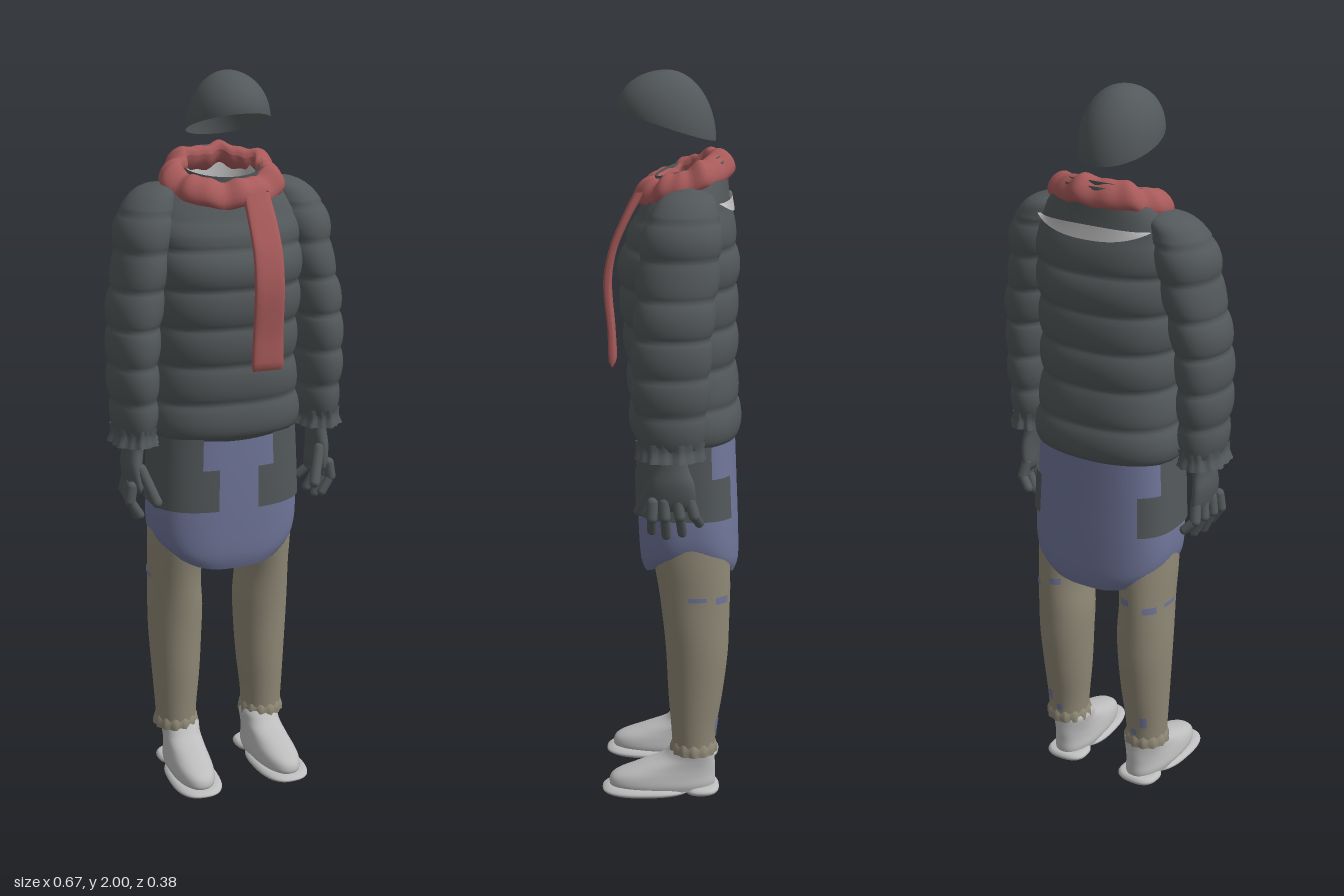
import * as THREE from 'three';

const mat = (name, color) => {
  const m = new THREE.MeshStandardMaterial({ color, side: THREE.DoubleSide });
  m.name = name;
  return m;
};

// Smooth value through the rows of a section table at height y
function sample(rows, y) {
  let i = 0;
  while (i < rows.length - 2 && y > rows[i + 1][0]) i++;
  const a = rows[i], b = rows[i + 1], p = rows[Math.max(i - 1, 0)], n = rows[Math.min(i + 2, rows.length - 1)];
  const h = b[0] - a[0], t = (y - a[0]) / h, t2 = t * t, t3 = t2 * t;
  return a.map((v, k) => {
    const ma = (b[k] - p[k]) / (b[0] - p[0]) * h, mb = (n[k] - v) / (n[0] - a[0]) * h;
    return (2 * t3 - 3 * t2 + 1) * v + (t3 - 2 * t2 + t) * ma + (3 * t2 - 2 * t3) * b[k] + (t3 - t2) * mb;
  });
}

// Skin over superellipse sections [y, cx, cz, rx, rz]; angle 0 faces the front.
// grow(y, angle) swells the section, bend(point, angle, y) moves the result.
function loft(rows, o = {}) {
  const { p = 2, from = 0, to = Math.PI * 2, grow = () => 0, bend, nu = 40, nv = 24 } = o;
  const y0 = o.y0 ?? rows[0][0], y1 = o.y1 ?? rows[rows.length - 1][0];
  const closed = to - from > 6.28, n = closed ? nu : nu + 1;
  const pos = [], idx = [], v = new THREE.Vector3();
  const pw = c => Math.sign(c) * Math.abs(c) ** (2 / p);
  for (let j = 0; j <= nv; j++) {
    const y = y0 + (y1 - y0) * j / nv, [, cx, cz, rx, rz] = sample(rows, y);
    for (let i = 0; i < n; i++) {
      const a = from + (to - from) * i / nu, g = grow(y, a);
      v.set(cx + (rx + g) * pw(Math.sin(a)), y, cz + (rz + g) * pw(Math.cos(a)));
      if (bend) bend(v, a, y);
      pos.push(v.x, v.y, v.z);
      if (j < nv && (closed || i < nu)) {
        const k = j * n + i, r = j * n + (i + 1) % n;
        idx.push(k, r, k + n, r, r + n, k + n);
      }
    }
  }
  const g = new THREE.BufferGeometry();
  g.setAttribute('position', new THREE.Float32BufferAttribute(pos, 3));
  g.setIndex(idx);
  g.computeVertexNormals();
  return g;
}

// Rounded rod between two points
function rod(a, b, r) {
  const A = new THREE.Vector3(...a), B = new THREE.Vector3(...b), d = B.clone().sub(A);
  const g = new THREE.CapsuleGeometry(r, d.length(), 5, 10);
  g.applyQuaternion(new THREE.Quaternion().setFromUnitVectors(new THREE.Vector3(0, 1, 0), d.normalize()));
  return g.translate(...A.add(B).multiplyScalar(0.5).toArray());
}

export function createModel() {
  const root = new THREE.Group();
  const dark = mat('charcoal', 0x53585a), blue = mat('slate blue', 0x70769a), tan = mat('taupe', 0x8f8876);
  const pale = mat('pale grey', 0xbdbdbd), red = mat('dusty red', 0xa85a5a);
  const add = (name, geo, m, parent = root) => {
    const mesh = new THREE.Mesh(geo, m);
    mesh.name = name;
    parent.add(mesh);
    return mesh;
  };
  const puff = (start, step, amount) => y => amount * (Math.sqrt(Math.abs(Math.sin(Math.PI * (y - start) / step))) - 0.7);

  // Quilted jacket body, with a collar that tips forward
  const torso = [[1.015, 0, -.035, .2, .135], [1.035, 0, -.035, .212, .147], [1.1, 0, -.034, .212, .15], [1.2, 0, -.026, .2, .148],
    [1.3, 0, -.022, .2, .153], [1.4, 0, -.017, .205, .157], [1.5, 0, -.017, .21, .16], [1.58, 0, -.025, .215, .142],
    [1.65, 0, -.03, .2, .122], [1.7, 0, -.037, .165, .11], [1.74, 0, -.045, .12, .1]];
  const tilt = (v, a, y) => { v.y -= (v.z + .04) * .33 * THREE.MathUtils.clamp((y - 1.58) / .14, 0, 1); };
  const bodyPuff = y => y > 1.63 ? 0 : puff(1.02, .105, .014)(y);
  add('jacketBody', loft(torso, { p: 2.4, grow: bodyPuff, bend: tilt, nu: 64, nv: 90 }), dark);
  add('collar', loft([[1.56, 0, -.04, .115, .09], [1.66, 0, -.042, .105, .085], [1.755, 0, -.045, .118, .092]], { bend: tilt }), dark);
  add('shirtNeck', loft([[1.68, 0, -.042, .098, .078], [1.725, 0, -.045, .1, .08]], { bend: tilt, nv: 4 }), pale);

  // Crescent of shirt showing across the upper back
  add('shirtBack', loft(torso, {
    p: 2.4, from: Math.PI - .85, to: Math.PI + .85, y0: 1.625, y1: 1.655, nv: 6, grow: () => .008,
    bend: (v, a, y) => {
      tilt(v, a, y);
      const edge = Math.cos((a - Math.PI) / .85 * Math.PI / 2);
      v.y = 1.672 + (v.y - 1.672) * edge;
    }
  }), pale);

  // Scarf loop and hanging end
  add('scarfLoop', loft([[-Math.PI, 0, 0, 1, 1], [Math.PI, 0, 0, 1, 1]], {
    nu: 80, nv: 20, bend: (v, a, t) => {
      const c = Math.cos(t), w = .005 * Math.sin(7 * a) + .003 * Math.sin(13 * a + 1);
      v.set((.138 + .033 * c + w) * Math.sin(a), 1.72 - .037 * Math.cos(a) + .033 * Math.sin(t) - .014 * c + w,
        -.032 + (.096 + .033 * c + w) * Math.cos(a));
    }
  }), red);
  add('scarfEnd', loft([[1.225, .057, .16, .042, .003], [1.235, .057, .16, .044, .01], [1.32, .057, .163, .042, .01], [1.45, .057, .172, .041, .011],
    [1.54, .058, .156, .04, .011], [1.62, .055, .122, .039, .012], [1.69, .05, .085, .036, .014]], { p: 4, nv: 40 }), red);

  // Helmet shell, open below, rim higher at the front
  add('helmet', loft([[0, 0, 0, 1, 1], [1, 0, 0, 1, 1]], {
    nu: 48, bend: (v, a, t) => {
      const f = t * Math.PI / 2, rim = 1.86 + .043 * Math.cos(a);
      v.set(.108 * Math.cos(f) * Math.sin(a), rim + (2 - rim) * Math.sin(f), .015 + .13 * Math.cos(f) * Math.cos(a));
    }
  }), dark);

  // Skirt with a hem raised at the sides
  const skirt = [[.64, 0, -.048, .18, .125], [.67, 0, -.048, .2, .135], [.75, 0, -.045, .21, .138], [.9, 0, -.04, .205, .137], [1.04, 0, -.037, .197, .134]];
  const hem = (v, a, y) => { v.y += .055 * Math.sin(a) ** 2 * Math.max(0, 1 - (y - .64) / .2); };
  add('skirt', loft(skirt, { p: 2.8, bend: hem, nu: 64 }), blue);

  for (const s of [1, -1]) {
    const side = new THREE.Group();
    side.name = s > 0 ? 'leftSide' : 'rightSide';
    root.add(side);
    const span = (a, b) => s > 0 ? { from: a, to: b } : { from: Math.PI * 2 - b, to: Math.PI * 2 - a };
    const at = rows => rows.map(([y, x, ...r]) => [y, x * s, ...r]);

    // Quilted sleeve and ragged cuff
    add('sleeve', loft(at([[1.035, .268, 0, .05, .08], [1.1, .266, 0, .06, .09], [1.2, .268, 0, .065, .1], [1.3, .265, -.002, .068, .102],
      [1.4, .255, -.01, .073, .103], [1.5, .235, -.018, .073, .105], [1.6, .218, -.028, .08, .102], [1.66, .2, -.036, .07, .085], [1.7, .175, -.045, .045, .055], [1.712, .16, -.045, .003, .003]]),
    { nv: 80, grow: y => y > 1.64 ? 0 : puff(1.04, .1, .012)(y) }), dark);
    add('cuff', loft(at([[1.02, .268, 0, .066, .09], [1.045, .268, 0, .055, .085], [1.07, .266, 0, .058, .088]]),
      { nv: 6, nu: 60, grow: (y, a) => .007 * Math.sin(a * 11) * Math.sin(a * 4 + s) }), dark);

    // Glove
    const glove = new THREE.Group();
    glove.name = 'glove';
    side.add(glove);
    add('palm', loft(at([[.875, .27, 0, .004, .04], [.89, .27, 0, .018, .062], [.95, .275, -.002, .025, .06], [1, .27, 0, .027, .045], [1.05, .266, 0, .03, .045]]), { nv: 16 }), dark, glove);
    [[-.05, -.075, .83], [-.018, -.03, .805], [.018, .012, .8], [.048, .05, .815]].forEach(([z0, z1, y1], i) => {
      const x = .272 + .006 * i;
      add('finger', rod([s * x, .905, z0], [s * (x + .006), .865, (z0 + z1) / 2], .015), dark, glove);
      add('fingertip', rod([s * (x + .006), .865, (z0 + z1) / 2], [s * (x - .02), y1 + .008, z1], .013), dark, glove);
    });
    add('thumb', rod([s * .262, .95, .045], [s * .232, .865, .085], .015), dark, glove);

    // Dark cloth patches around the hips
    const patch = (a, b, y0, y1) => add('hipPatch', loft(skirt, { p: 2.8, ...span(a, b), y0, y1, bend: hem, grow: () => .006, nv: 8 }), dark, side);
    patch(.16, 2.45, .82, .94);
    patch(.38, 1.95, .94, 1.03);

    // Legging with ragged ankle and worn spots
    const leg = at([[.13, .132, -.062, .056, .058], [.2, .132, -.062, .06, .063], [.3, .13, -.066, .068, .075], [.42, .13, -.07, .075, .085],
      [.5, .13, -.068, .077, .09], [.6, .133, -.063, .073, .097], [.7, .128, -.055, .08, .105], [.84, .12, -.05, .083, .112]]);
    add('legging', loft(leg, { nv: 40 }), tan, side);
    add('ankleCuff', loft(at([[.13, .132, -.062, .063, .064], [.15, .132, -.062, .062, .064], [.168, .132, -.062, .054, .056]]),
      { nv: 4, nu: 48, grow: (y, a) => .003 * Math.sin(a * 13) }), tan, side);
    for (const [a, b, y0, y1] of [[1.4, 1.9, .595, .607], [2.2, 2.7, .585, .605], [3.2, 3.6, .605, .625], [2.6, 2.9, .2, .235], [3.1, 3.4, .17, .19]])
      add('wornSpot', loft(leg, { ...span(a, b), y0, y1, grow: () => .003, nv: 2, nu: 6 }), blue, side);

    // Slip-on shoe with split sole
    const shoe = new THREE.Group();
    shoe.name = 'shoe';
    shoe.position.set(s * .125, 0, 0);
    shoe.rotation.y = s * .05;
    side.add(shoe);
    add('upper', loft([[.018, 0, .025, .056, .145], [.035, 0, .027, .06, .15], [.06, 0, .02, .057, .142], [.085, 0, -.012, .053, .11],
      [.11, 0, -.045, .052, .075], [.135, 0, -.058, .054, .06], [.145, 0, -.06, .05, .055]], { p: 2.3 }), pale, shoe);
    const sole = (name, z, rx, rz) => add(name, loft([[0, 0, z, .002, .002], [.003, 0, z, rx, rz], [.026, 0, z, rx + .003, rz + .003], [.03, 0, z, .01, .01]],
      { p: 2.6, nv: 20 }), pale, shoe);
    sole('foreSole', .07, .058, .103);
    sole('heel', -.082, .05, .042);
  }
  return root;
}
